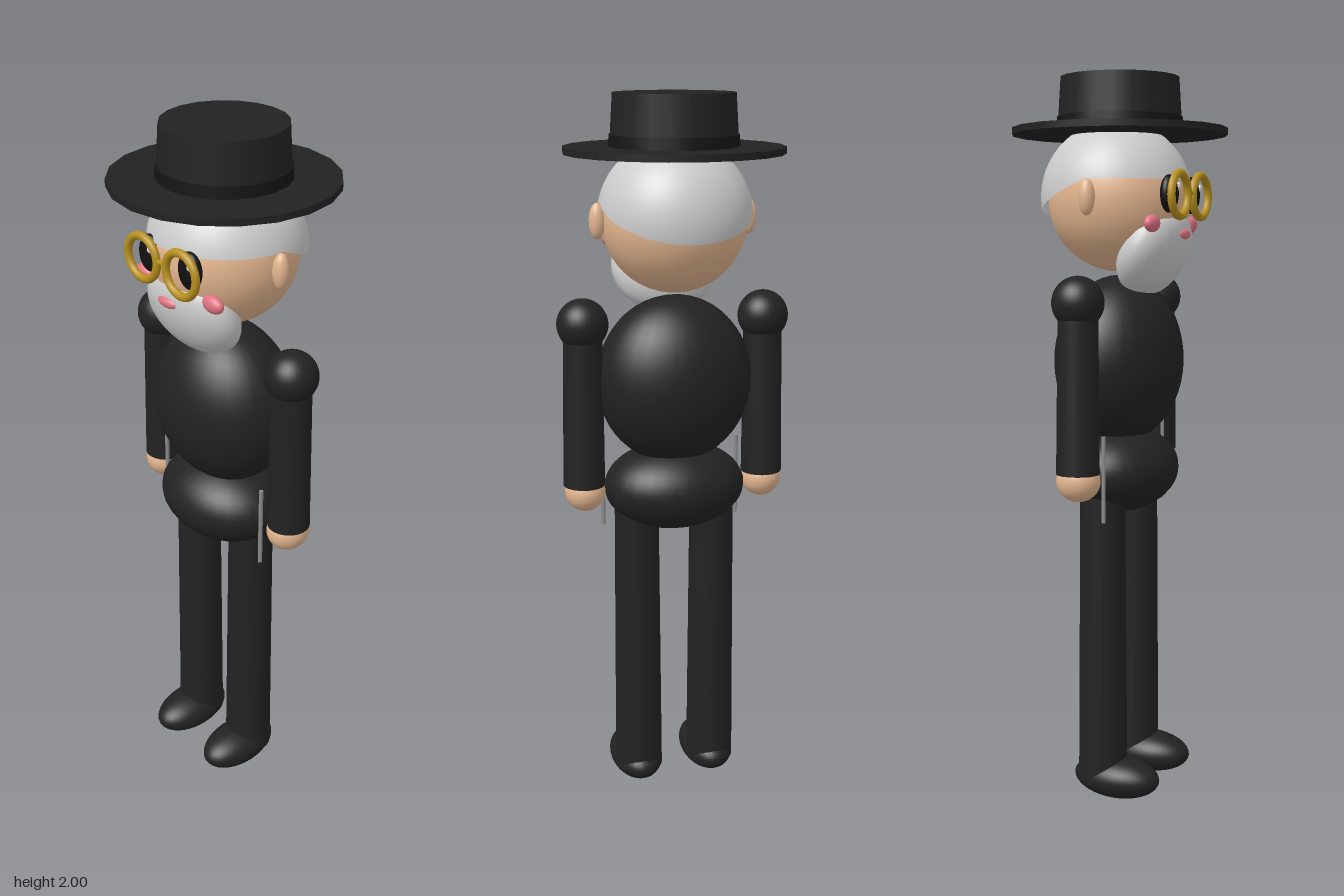
import * as THREE from 'three';

const mat = (name, color, side = THREE.FrontSide) => {
  const m = new THREE.MeshStandardMaterial({ color, side });
  m.name = name;
  return m;
};

export function createModel() {
  const model = new THREE.Group();
  model.name = 'beardedMan';

  const black = mat('black cloth', 0x222222);
  const bandBlack = mat('hat band black', 0x151515);
  const skin = mat('skin', 0xe3b58f);
  const hairGrey = mat('hair grey', 0xcccccc, THREE.DoubleSide);
  const gold = mat('gold', 0xb8901f);
  const eyeBlack = mat('eye black', 0x111111);
  const white = mat('white', 0xffffff);
  const pink = mat('pink', 0xe07584);
  const cordGrey = mat('cord grey', 0x8c8c8c);

  const add = (name, geometry, material, x, y, z, parent = model) => {
    const mesh = new THREE.Mesh(geometry, material);
    mesh.name = name;
    mesh.position.set(x, y, z);
    parent.add(mesh);
    return mesh;
  };
  const ellipsoid = (name, material, [x, y, z], [rx, ry, rz], parent) =>
    add(name, new THREE.SphereGeometry(1, 32, 24).scale(rx, ry, rz), material, x, y, z, parent);
  // Tapered post standing between two heights
  const post = (name, material, x, z, y0, y1, r0, r1, sides = 24, parent) =>
    add(name, new THREE.CylinderGeometry(r1, r0, y1 - y0, sides), material, x, (y0 + y1) / 2, z, parent);

  // Body
  ellipsoid('torso', black, [0, 1.235, 0], [0.217, 0.235, 0.172]);
  ellipsoid('hips', black, [0, 0.93, 0], [0.2, 0.122, 0.16]);

  // Limbs
  for (const [side, s] of [['left', 1], ['right', -1]]) {
    const leg = new THREE.Group();
    leg.name = side + 'Leg';
    model.add(leg);
    post('trouserLeg', black, s * 0.11, 0, 0.05, 0.9, 0.069, 0.062, 24, leg);
    ellipsoid('shoe', black, [s * 0.11, 0.061, 0.043], [0.075, 0.058, 0.127], leg);

    const arm = new THREE.Group();
    arm.name = side + 'Arm';
    model.add(arm);
    ellipsoid('shoulder', black, [s * 0.255, 1.402, 0], [0.07, 0.07, 0.07], arm);
    const sleeve = post('sleeve', black, s * 0.257, 0, 0.95, 1.4, 0.058, 0.053, 24, arm);
    sleeve.rotation.z = s * 0.01;
    ellipsoid('hand', skin, [s * 0.257, 0.931, 0], [0.056, 0.056, 0.06], arm);

    // Cord hanging at the hip
    post('hipCord', cordGrey, s * 0.197, 0.045, 0.81, 1.045, 0.006, 0.006, 8);
  }

  // Head
  const head = new THREE.Group();
  head.name = 'head';
  model.add(head);
  ellipsoid('face', skin, [0, 1.675, 0], [0.196, 0.196, 0.196], head);
  const beard = ellipsoid('beard', hairGrey, [0, 1.535, 0.105], [0.15, 0.13, 0.08], head);
  beard.rotation.x = 0.45;
  ellipsoid('mouth', pink, [0, 1.58, 0.19], [0.035, 0.015, 0.015], head);

  // Hair: spherical cap whose edge drops towards the nape
  const cap = new THREE.PlaneGeometry(1, 1, 48, 16);
  const pos = cap.attributes.position, uv = cap.attributes.uv, r = 0.208;
  for (let i = 0; i < pos.count; i++) {
    const a = uv.getX(i) * Math.PI * 2;
    const edge = 0.042 + 0.088 * Math.min(0, Math.cos(a));
    const t = (1 - uv.getY(i)) * Math.acos(edge / r);
    const n = new THREE.Vector3(Math.sin(a) * Math.sin(t), Math.cos(t), Math.cos(a) * Math.sin(t));
    cap.attributes.normal.setXYZ(i, n.x, n.y, n.z);
    pos.setXYZ(i, n.x * r, n.y * r, n.z * r);
  }
  add('hair', cap, hairGrey, 0, 1.68, -0.009, head);

  // Eyes, spectacles, cheeks and ears
  for (const s of [1, -1]) {
    ellipsoid('eye', eyeBlack, [s * 0.075, 1.685, 0.18], [0.038, 0.05, 0.022], head);
    ellipsoid('eyeGlint', white, [s * 0.075 + 0.018, 1.705, 0.199], [0.008, 0.01, 0.005], head);
    add('spectacleRim', new THREE.TorusGeometry(0.056, 0.011, 10, 32), gold, s * 0.073, 1.682, 0.209, head);
    ellipsoid('cheek', pink, [s * 0.13, 1.607, 0.155], [0.035, 0.023, 0.018], head);
    ellipsoid('ear', skin, [s * 0.209, 1.675, 0.003], [0.022, 0.048, 0.022], head);
  }
  const bridge = add('spectacleBridge', new THREE.CylinderGeometry(0.007, 0.007, 0.05, 10), gold, 0, 1.69, 0.209, head);
  bridge.rotation.z = Math.PI / 2;

  // Hat
  const hat = new THREE.Group();
  hat.name = 'hat';
  model.add(hat);
  post('brim', black, 0, 0, 1.846, 1.864, 0.295, 0.295, 20, hat);
  post('crown', black, 0, 0, 1.86, 2, 0.171, 0.162, 20, hat);
  post('hatBand', bandBlack, 0, 0, 1.862, 1.895, 0.174, 0.172, 20, hat);

  return model;
}
